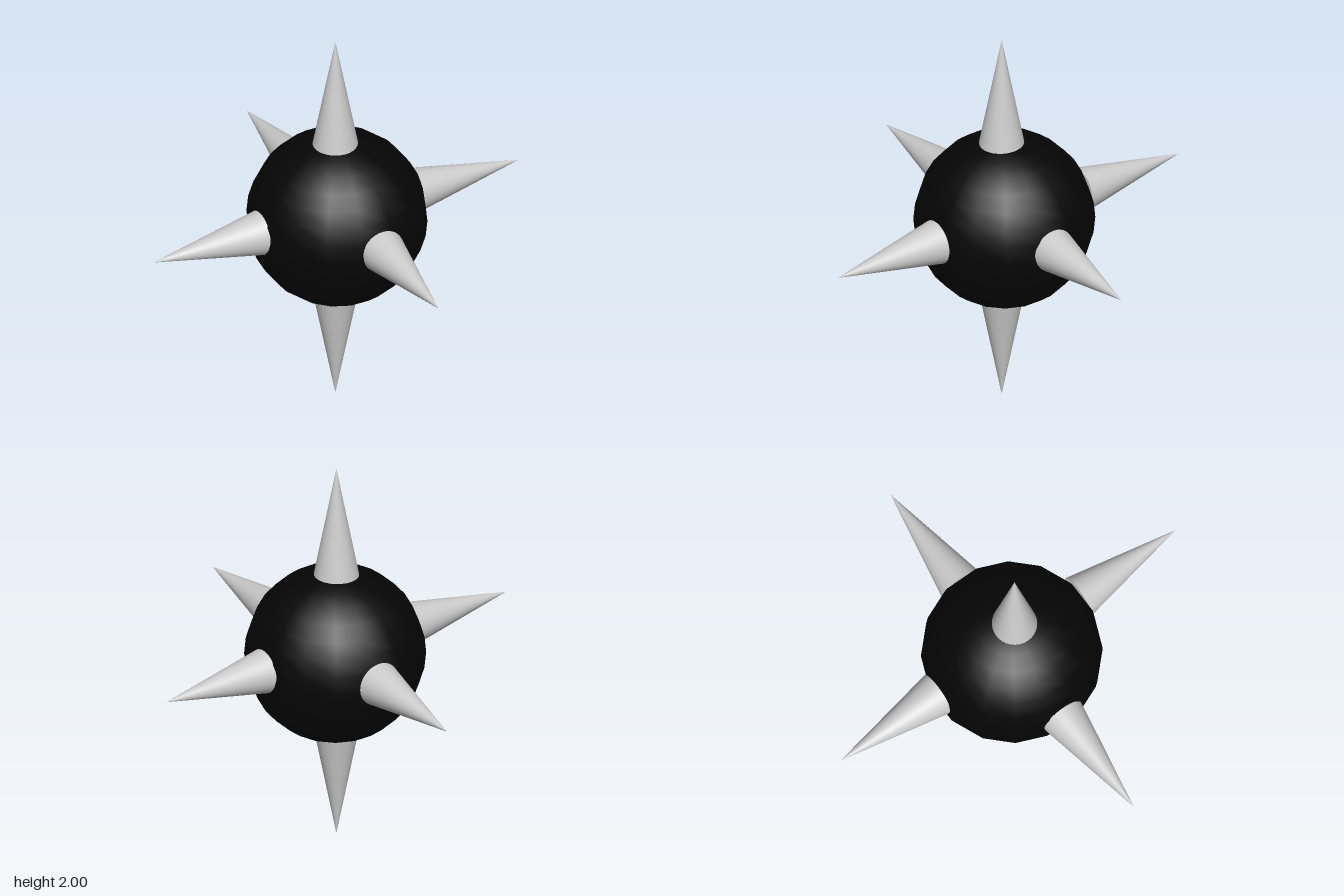
import * as THREE from 'three';

export function createModel() {
  const group = new THREE.Group();
  const black = new THREE.MeshStandardMaterial({ color: 0x050505 });
  const grey = new THREE.MeshStandardMaterial({ color: 0xcccccc });

  // Round body, turned half a segment so a flat facet faces each side
  const ballGeometry = new THREE.SphereGeometry(0.438, 16, 16);
  ballGeometry.rotateY(Math.PI / 16);
  const ball = new THREE.Mesh(ballGeometry, black);
  ball.name = 'ball';
  ball.position.set(0.005, 1, 0);
  group.add(ball);

  // Six spikes: each runs from its base centre to its tip
  const baseRadius = 0.11;
  const up = new THREE.Vector3(0, 1, 0);
  const spikes = [
    ['topSpike', [-0.007, 1.42, 0.007], [-0.007, 2, 0.007]],
    ['bottomSpike', [-0.007, 0.58, 0.007], [-0.007, 0, 0.007]],
    ['leftSpike', [0.42, 1.025, 0], [0.99, 1.03, 0]],
    ['rightSpike', [-0.41, 1.025, 0], [-0.99, 1.025, 0]],
    ['frontSpike', [0.036, 1.026, 0.42], [0.036, 1.026, 1]],
    ['backSpike', [0.036, 1.026, -0.42], [0.036, 1.026, -1]],
  ];
  for (const [name, from, to] of spikes) {
    const base = new THREE.Vector3(...from);
    const tip = new THREE.Vector3(...to);
    const spike = new THREE.Mesh(new THREE.ConeGeometry(baseRadius, base.distanceTo(tip), 32), grey);
    spike.name = name;
    spike.position.copy(base).add(tip).multiplyScalar(0.5);
    spike.quaternion.setFromUnitVectors(up, tip.sub(base).normalize());
    group.add(spike);
  }
  return group;
}
